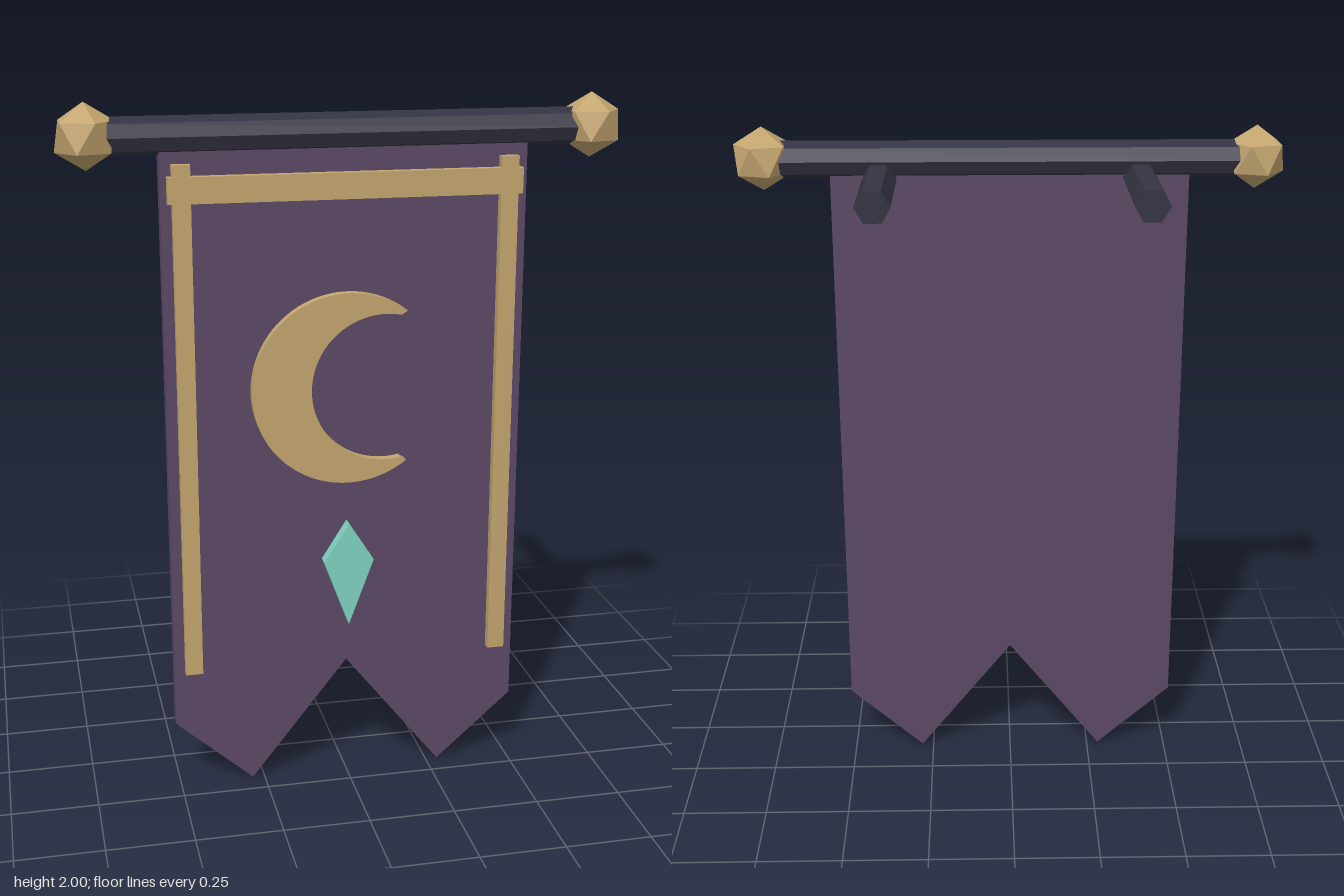
import * as THREE from 'three';

const mat = (name, color, flat = true) => {
  const m = new THREE.MeshStandardMaterial({ color, flatShading: flat });
  m.name = name;
  return m;
};

export function createModel() {
  const group = new THREE.Group();
  const gold = mat('gold', 0xc3a56f);
  const cloth = mat('purple cloth', 0x5b4965);
  const iron = mat('dark iron', 0x343343);
  const teal = mat('teal gem', 0x80d2c2);

  const ROD_Y = 1.91, ROD_Z = 0.157;
  const BACK = 0.135, FRONT = 0.182; // cloth faces

  const add = (name, geometry, material, x = 0, y = 0, z = 0) => {
    const mesh = new THREE.Mesh(geometry, material);
    mesh.name = name;
    mesh.position.set(x, y, z);
    group.add(mesh);
    return mesh;
  };
  // Flat plate from an outline, spanning z0..z1
  const plate = (name, shape, material, z0, z1) =>
    add(name, new THREE.ExtrudeGeometry(shape, { depth: z1 - z0, bevelEnabled: false, curveSegments: 32 }), material, 0, 0, z0);
  const outline = (pts) => new THREE.Shape(pts.map(([x, y]) => new THREE.Vector2(x, y)));

  // Hanging cloth with a swallowtail hem
  plate('bannerCloth', outline([
    [-0.51, 1.89], [-0.51, 0.2], [-0.285, 0], [0, 0.36],
    [0.285, 0], [0.51, 0.2], [0.51, 1.89],
  ]), cloth, BACK, FRONT);

  // Octagonal cross rod
  add('rod', new THREE.CylinderGeometry(0.052, 0.052, 1.4, 8).rotateZ(Math.PI / 2), iron, 0, ROD_Y - 0.002, ROD_Z - 0.002);

  // Finials, wall brackets and side trims
  const tilt = -Math.atan(2 / (1 + Math.sqrt(5))); // one corner straight up
  for (const [side, s] of [['right', -1], ['left', 1]]) {
    add(side + 'Finial', new THREE.IcosahedronGeometry(0.09, 0).rotateZ(tilt), gold, s * 0.7, ROD_Y, ROD_Z);
    add(side + 'Bracket',
      new THREE.CylinderGeometry(0.049, 0.049, 0.39, 6).rotateY(Math.PI / 2).rotateX(Math.PI / 2),
      iron, s * 0.37, 1.856, -0.04);
    add(side + 'Trim', new THREE.BoxGeometry(0.05, 1.47, 0.026), gold, s * 0.455, 1.1, 0.194);
  }
  add('topTrim', new THREE.BoxGeometry(0.985, 0.072, 0.028), gold, 0, 1.767, 0.195);

  // Crescent: outer arc, blunt tips, inner arc
  const cy = 1.197, R = 0.275, r = 0.212, cx = 0.106;
  const a = 0.916, b = Math.atan2(0.207, 0.044);
  const moon = new THREE.Shape();
  moon.absarc(0, cy, R, a, 2 * Math.PI - a, false);
  moon.absarc(cx, cy, r, 2 * Math.PI - b, b, true);
  moon.closePath();
  plate('crescent', moon, gold, FRONT - 0.002, 0.211);

  // Kite-shaped gem
  plate('gem', outline([[0, 0.8], [-0.073, 0.685], [0, 0.488], [0.073, 0.685]]), teal, FRONT - 0.002, 0.22);

  return group;
}
